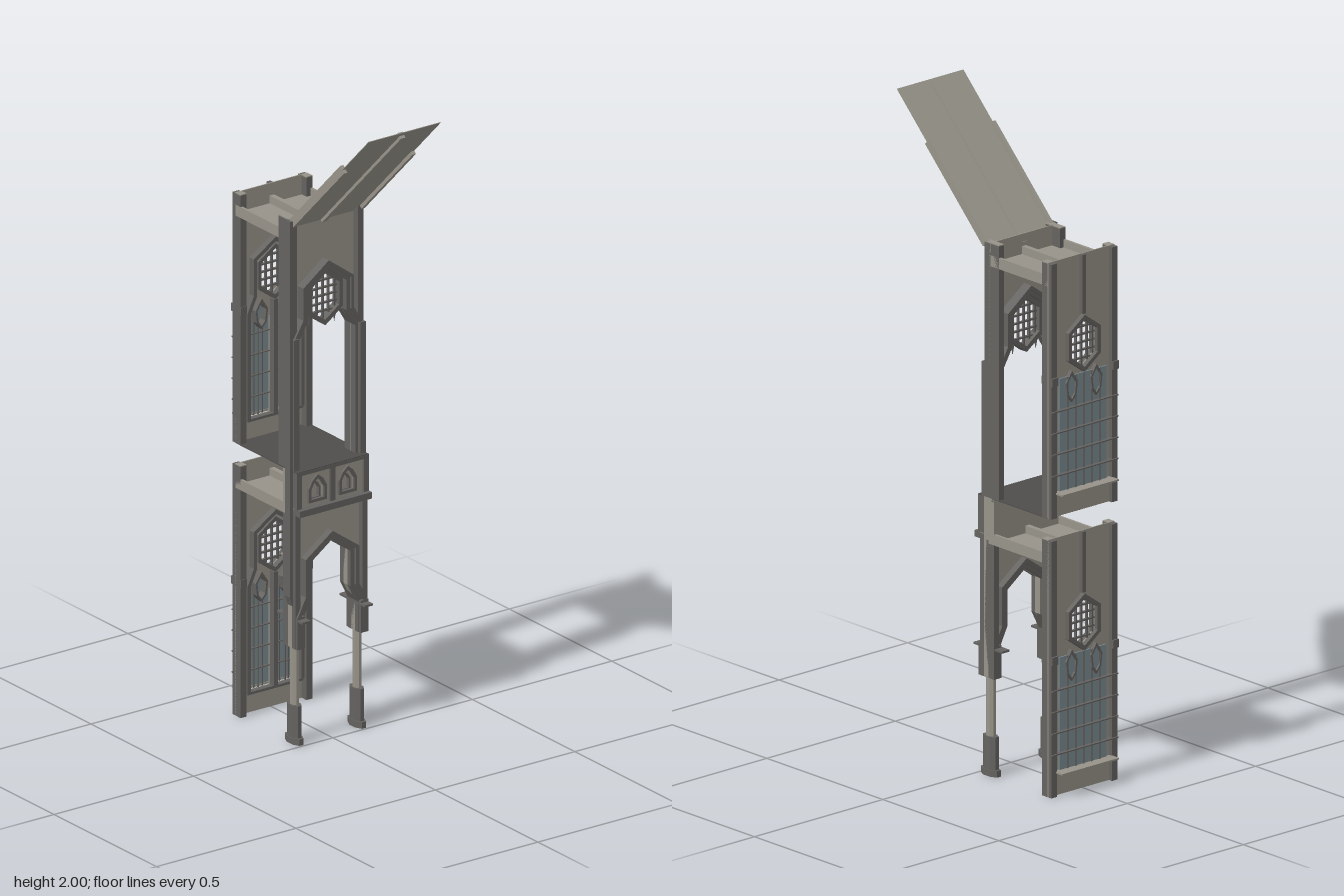
import * as THREE from 'three';

const paint = (color) => new THREE.MeshStandardMaterial({ color, flatShading: true, side: THREE.DoubleSide });
const stone = paint(0x979389);
const trim = paint(0x656360);
const slate = paint(0x4f4d4b);
const glass = paint(0x7b8c93);
const W = 0.129; // half width of the bay

function add(parent, name, geometry, material) {
  const mesh = new THREE.Mesh(geometry, material);
  mesh.name = name;
  parent.add(mesh);
  return mesh;
}

// box given by its limits on each axis
function box(parent, name, x0, x1, y0, y1, z0, z1, material = trim) {
  const mesh = add(parent, name, new THREE.BoxGeometry(x1 - x0, y1 - y0, z1 - z0), material);
  mesh.position.set((x0 + x1) / 2, (y0 + y1) / 2, (z0 + z1) / 2);
}

const vecs = (pts) => pts.map(([x, y]) => new THREE.Vector2(x, y));

// flat outline with holes, extruded from z0 to z1
function panel(parent, name, outline, holes, z0, z1, material = stone) {
  const shape = new THREE.Shape(vecs(outline));
  holes.forEach((h) => shape.holes.push(new THREE.Path(vecs(h))));
  const g = new THREE.ExtrudeGeometry(shape, { depth: z1 - z0, bevelEnabled: false });
  add(parent, name, g.translate(0, 0, z0), material);
}

// polyline moved sideways by d with mitred corners
function offset(pts, d, closed) {
  const n = pts.length;
  const normal = (a, b) => {
    const l = Math.hypot(b[0] - a[0], b[1] - a[1]);
    return [-(b[1] - a[1]) / l, (b[0] - a[0]) / l];
  };
  return pts.map((p, i) => {
    const prev = closed || i > 0 ? normal(pts[(i + n - 1) % n], p) : null;
    const next = closed || i < n - 1 ? normal(p, pts[(i + 1) % n]) : null;
    const a = prev || next, b = next || prev;
    const k = d / (1 + a[0] * b[0] + a[1] * b[1]);
    return [p[0] + (a[0] + b[0]) * k, p[1] + (a[1] + b[1]) * k];
  });
}

// moulding of width w following a polyline (on its left side)
function moulding(parent, name, pts, w, z0, z1, closed = false) {
  const side = offset(pts, w, closed);
  if (closed) panel(parent, name, w < 0 ? side : pts, [w < 0 ? pts : side], z0, z1, trim);
  else panel(parent, name, [...pts, ...side.reverse()], [], z0, z1, trim);
}

const mirrorPath = (half) => [...half, ...half.filter(([x]) => x > 0).reverse().map(([x, y]) => [-x, y])];
const hexagon = (cy, rx, ry) => [[rx, cy - ry / 2], [rx, cy + ry / 2], [0, cy + ry],
  [-rx, cy + ry / 2], [-rx, cy - ry / 2], [0, cy - ry]];
const lancet = (cx, y0, y1, r, tip) => [[cx - r, y0], [cx + r, y0], [cx + r, y1 - tip],
  [cx + r * 0.6, y1 - tip * 0.4], [cx, y1], [cx - r * 0.6, y1 - tip * 0.4], [cx - r, y1 - tip]];

// open lattice clipped to a hexagon
function lattice(parent, cy, rx, ry, z) {
  const g = new THREE.Group();
  g.name = 'roseLattice';
  for (let i = -2; i <= 2; i++) {
    const x = i * 0.021;
    const top = ry - (Math.abs(x) / rx) * ry / 2;
    box(g, 'latticeUpright', x - 0.0025, x + 0.0025, cy - top, cy + top, z - 0.004, z + 0.004);
    const y = i * 0.024;
    const half = Math.min(rx, rx * 2 * (1 - Math.abs(y) / ry));
    box(g, 'latticeBar', -half, half, cy + y - 0.0025, cy + y + 0.0025, z - 0.004, z + 0.004);
  }
  parent.add(g);
}

// rear wall bay with rose and paired lancet windows; its base is at y = 0
function windowWall(height) {
  const g = new THREE.Group();
  g.name = 'windowWall';
  const rose = hexagon(0.51, 0.05, 0.072);
  const lights = [-0.048, 0.048].map((x) => lancet(x, 0.07, 0.42, 0.039, 0.05));
  panel(g, 'wallPanel', [[-W, 0], [W, 0], [W, height], [-W, height]], [rose, ...lights], -0.307, -0.303);
  // inner face
  const arch = mirrorPath([[0.09, 0.07], [0.09, 0.4], [0.068, 0.45], [0.068, 0.56], [0, 0.605]]);
  moulding(g, 'archMoulding', arch, -0.012, -0.303, -0.282);
  box(g, 'mullion', -0.007, 0.007, 0.07, 0.425, -0.303, -0.282);
  box(g, 'baseRail', -0.1, 0.1, 0.062, 0.07, -0.303, -0.285);
  moulding(g, 'innerRoseFrame', rose, -0.012, -0.303, -0.285, true);
  // outer face with one wide glazed field
  box(g, 'glassPane', -0.092, 0.092, 0.07, 0.42, -0.314, -0.31, glass);
  moulding(g, 'outerRoseFrame', rose, -0.012, -0.322, -0.307, true);
  box(g, 'upperRib', -0.007, 0.007, 0.6, height, -0.32, -0.307);
  lattice(g, 0.51, 0.05, 0.072, -0.305);
  for (const x of [-0.062, -0.031, 0, 0.031, 0.062]) {
    box(g, 'glazingUpright', x - 0.0018, x + 0.0018, 0.07, 0.42, -0.318, -0.307);
  }
  for (const y of [0.13, 0.195, 0.26, 0.325]) box(g, 'glazingBar', -W, W, y - 0.0018, y + 0.0018, -0.325, -0.307);
  for (const y of [0.13, 0.195, 0.26, 0.325]) box(g, 'innerBar', -0.088, 0.088, y - 0.0015, y + 0.0015, -0.308, -0.302);
  for (const s of [-1, 1]) {
    const x = s * 0.048;
    moulding(g, 'traceryDrop', [[x - 0.012, 0.365], [x, 0.35], [x + 0.012, 0.365], [x + 0.016, 0.4],
      [x, 0.425], [x - 0.016, 0.4]], -0.006, -0.32, -0.286, true);
    box(g, 'innerUpright', x - 0.0015, x + 0.0015, 0.07, 0.36, -0.308, -0.302);
    const c = s * (W - 0.011);
    box(g, 'pilaster', c - 0.011, c + 0.011, 0, height - 0.003, -0.32, -0.28);
    box(g, 'pilasterTop', c - 0.011, c + 0.011, height - 0.003, height, -0.306, -0.28, stone);
    box(g, 'pilasterCap', c - 0.011, c + 0.011, 0.405, 0.43, -0.326, -0.278);
  }
  box(g, 'windowSill', -0.11, 0.11, 0.072, 0.077, -0.348, -0.308, stone);
  return g;
}

// thin slab with beams standing on it between front and rear walls
function ceiling(parent, y0, y1, front) {
  box(parent, 'ceilingSlab', -W, W, y0, y0 + 0.01, -0.304, front, stone);
  box(parent, 'ceilingBeam', -0.008, 0.008, y0, y1, -0.304, front, stone);
  for (const s of [-1, 1]) box(parent, 'edgeBeam', s * 0.125 - 0.004, s * 0.125 + 0.004, y0, y1, -0.304, front, stone);
}

// open lower arcade on slender piers
function lowerArcade() {
  const g = new THREE.Group();
  g.name = 'lowerArcade';
  const arch = mirrorPath([[0.098, 0.3], [0.098, 0.395], [0.07, 0.45], [0.07, 0.56], [0, 0.61]]);
  panel(g, 'spandrel', [...arch, [-W, 0.3], [-W, 0.72], [W, 0.72], [W, 0.3]], [], -0.05, -0.03);
  moulding(g, 'archMoulding', arch, -0.014, -0.066, -0.014);
  moulding(g, 'outerMoulding', offset(arch, -0.014, false), -0.012, -0.072, -0.006);
  for (const s of [-1, 1]) {
    const x = s * 0.112;
    box(g, 'sidePier', s * 0.12 - 0.009, s * 0.12 + 0.009, 0.3, 0.72, -0.074, -0.012);
    box(g, 'pierBlock', s * 0.114 - 0.014, s * 0.114 + 0.014, 0.3, 0.4, -0.074, -0.005);
    box(g, 'collar', x - 0.015, x + 0.015, 0.387, 0.393, -0.105, 0.018);
    // name, half width, half depth, bottom, top
    const parts = [['shaft', 0.011, 0.016, 0.1, 0.31, stone], ['plinth', 0.015, 0.027, 0.02, 0.12, trim],
      ['foot', 0.017, 0.035, 0, 0.02, trim]];
    for (const [name, hx, hz, y0, y1, material] of parts) {
      const k = 1 / Math.cos(Math.PI / 8); // octagon with flat faces forward
      const m = add(g, name, new THREE.CylinderGeometry(k, k, y1 - y0, 8).rotateY(Math.PI / 8), material);
      m.scale.set(hx, 1, hz);
      m.position.set(x, (y0 + y1) / 2, -0.041);
    }
  }
  return g;
}

// parapet with two blind pointed arches
function parapet() {
  const g = new THREE.Group();
  g.name = 'parapet';
  const niches = [-0.054, 0.054].map((x) => lancet(x, 0.748, 0.832, 0.032, 0.04));
  box(g, 'parapetBack', -W, W, 0.72, 0.85, -0.074, -0.03, stone);
  panel(g, 'parapetFace', [[-W, 0.735], [W, 0.735], [W, 0.85], [-W, 0.85]], niches, -0.03, -0.012);
  niches.forEach((n, i) => {
    const x = i ? 0.054 : -0.054;
    moulding(g, 'nicheFrame', n, 0.009, -0.014, -0.004, true);
    moulding(g, 'innerNiche', lancet(x, 0.752, 0.808, 0.018, 0.022), 0.005, -0.03, -0.018, true);
  });
  box(g, 'ledge', -W, W, 0.717, 0.737, -0.07, 0.01);
  box(g, 'copingRail', -W, W, 0.84, 0.85, -0.07, -0.004);
  for (const x of [-0.12, 0, 0.12]) box(g, 'parapetPost', x - 0.009, x + 0.009, 0.737, 0.85, -0.03, -0.004);
  return g;
}

// tall upper arcade with a rose lattice
function upperArcade() {
  const g = new THREE.Group();
  g.name = 'upperArcade';
  const arch = mirrorPath([[0.1, 0.85], [0.1, 1.25], [0.068, 1.305], [0.068, 1.4], [0, 1.45]]);
  panel(g, 'spandrel', [...arch, [-W, 0.85], [-W, 1.61], [W, 1.61], [W, 0.85]], [], -0.059, -0.054);
  panel(g, 'topWall', [[-W, 1.6], [W, 1.6], [W, 1.63], [-W, 1.63]], [], -0.061, -0.057);
  moulding(g, 'archMoulding', arch, -0.013, -0.085, -0.032);
  moulding(g, 'outerMoulding', offset(arch, -0.013, false), -0.01, -0.092, -0.025);
  const rose = hexagon(1.36, 0.05, 0.072);
  moulding(g, 'roseFrame', rose, -0.014, -0.072, -0.042, true);
  lattice(g, 1.36, 0.05, 0.072, -0.057);
  for (const s of [-1, 1]) {
    const c = s * 0.119;
    box(g, 'upperPier', c - 0.01, c + 0.01, 0.85, 1.26, -0.095, -0.02);
    box(g, 'upperPilaster', c - 0.01, c + 0.01, 1.26, 1.627, -0.095, -0.032);
    box(g, 'pilasterTop', c - 0.01, c + 0.01, 1.627, 1.63, -0.095, -0.032, stone);
    // small drops hanging beside the rose
    const drop = add(g, 'pendant', new THREE.ConeGeometry(0.008, 0.045, 6).rotateX(Math.PI), trim);
    drop.position.set(s * 0.045, 1.29, -0.06);
  }
  return g;
}

// roof slope rising toward the front, with ribs
function roof() {
  const g = new THREE.Group();
  g.name = 'roof';
  const L = 0.2 * Math.SQRT2;
  box(g, 'roofPlane', -W, W, -0.001, 0.001, -L, L, stone);
  box(g, 'centreRib', -0.008, 0.008, -0.01, 0.01, -L, L - 0.02, stone);
  for (const s of [-1, 1]) box(g, 'edgeRib', s * 0.123 - 0.006, s * 0.123 + 0.006, -0.012, 0.014, -L + 0.03, 0.1, stone);
  g.position.set(0, 1.798, 0.145);
  g.rotation.x = -Math.PI / 4;
  return g;
}

export function createModel() {
  const model = new THREE.Group();
  model.name = 'gothicBay';
  const bay = new THREE.Group();
  bay.name = 'bay';
  bay.position.x = 0.004;
  model.add(bay);
  const upperWall = windowWall(0.78);
  upperWall.position.y = 0.85;
  bay.add(windowWall(0.785), upperWall, lowerArcade(), parapet(), upperArcade(), roof());
  ceiling(bay, 0.71, 0.743, -0.05);
  ceiling(bay, 1.558, 1.592, -0.057);
  box(bay, 'upperFloor', -W, W, 0.849, 0.852, -0.305, -0.005, slate);
  // slim shaft along the right side
  panel(bay, 'sideShaft', [[-W, 0.43], [-W, 1.63], [-0.139, 1.63], [-0.139, 0.46]], [], -0.05, -0.025, trim);
  return model;
}
